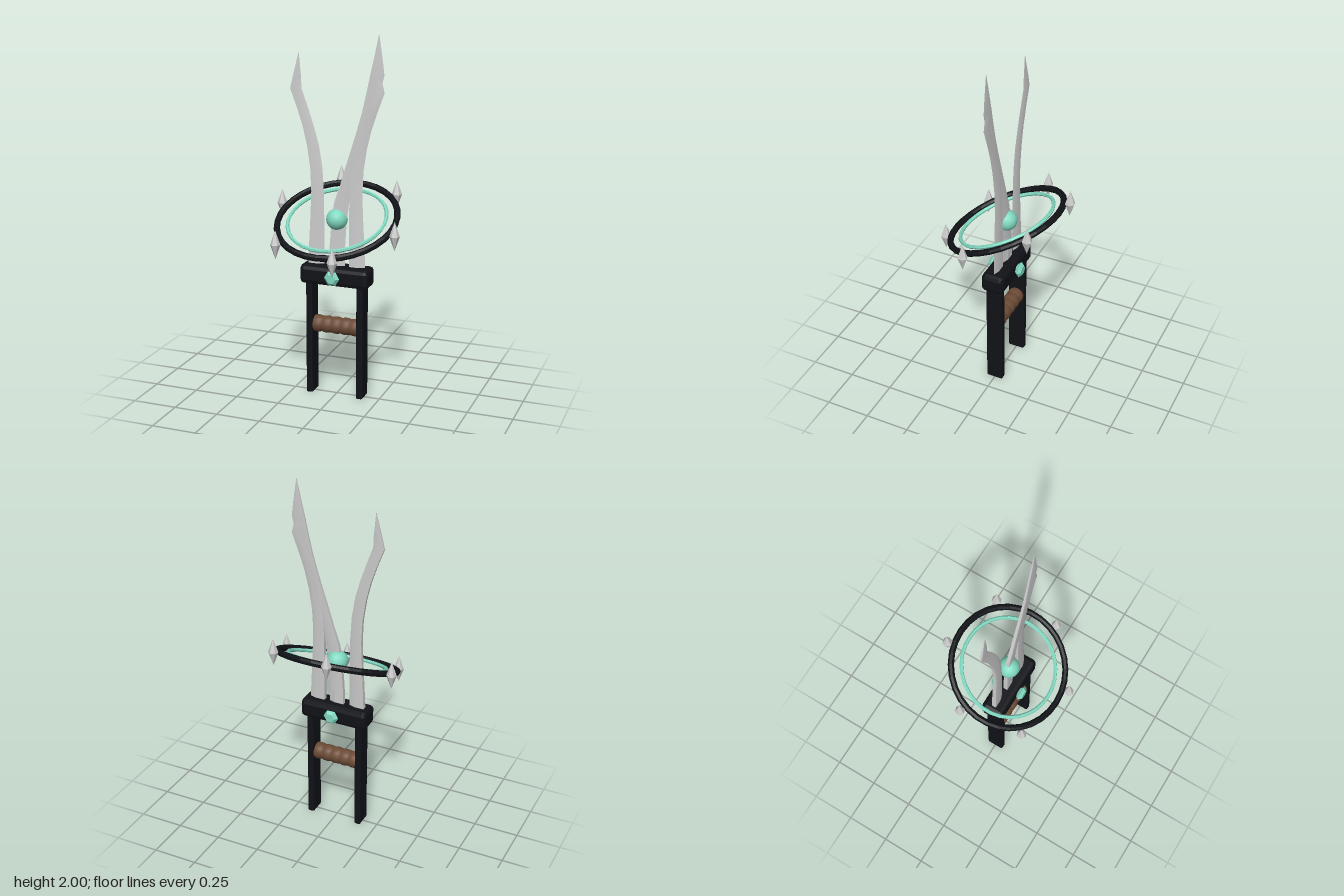
import * as THREE from 'three';
import { toCreasedNormals } from 'three/addons/utils/BufferGeometryUtils.js';
import { RoundedBoxGeometry } from 'three/addons/geometries/RoundedBoxGeometry.js';

const mat = (color, flatShading = false) => new THREE.MeshStandardMaterial({ color, flatShading });
const steel = mat(0xcccccc);
const crystalMat = mat(0xcccccc, true);
const black = mat(0x101217, true);
const mint = mat(0x80d8c0);
const mintFlat = mat(0x80d8c0, true);
const brown = mat(0x6b4a35);

// Blade outlines: [y, left x, right x]
const SIDE_BLADE = [
  [0.70, -0.165, -0.073], [0.85, -0.158, -0.073], [1.0, -0.15, -0.073], [1.15, -0.144, -0.075],
  [1.28, -0.15, -0.083], [1.4, -0.168, -0.102], [1.5, -0.192, -0.13], [1.6, -0.225, -0.163],
  [1.7, -0.263, -0.2], [1.77, -0.246, -0.203], [1.89, -0.216, -0.214],
];
const MIDDLE_BLADE = [
  [0.70, -0.043, 0.045], [0.85, -0.038, 0.047], [1.0, -0.027, 0.056], [1.1, -0.012, 0.07],
  [1.2, 0.022, 0.1], [1.3, 0.052, 0.13], [1.4, 0.084, 0.158], [1.5, 0.115, 0.185],
  [1.6, 0.143, 0.21], [1.7, 0.166, 0.236], [1.79, 0.184, 0.261], [1.88, 0.205, 0.25],
  [2.0, 0.229, 0.231],
];

// Blade lofted from five-sided sections: square spine at -x, sharp edge at +x
function bladeGeometry(stations) {
  const pos = [], idx = [];
  const n = 5, last = stations.length - 1;
  for (const [y, a, b] of stations) {
    const t = 0.013 - 0.0085 * (y - 0.7) / 1.2;
    const m = a + (b - a) * 0.6;
    const h = Math.min(t, (b - a) * 0.4);
    for (const [x, z] of [[a, h], [m, h], [b, 0], [m, -h], [a, -h]]) pos.push(x, y, z);
  }
  for (let i = 0; i < last; i++) {
    for (let j = 0; j < n; j++) {
      const p = i * n + j, q = i * n + (j + 1) % n;
      idx.push(p, q, q + n, p, q + n, p + n);
    }
  }
  // end caps
  for (let j = 1; j < n - 1; j++) {
    idx.push(0, j + 1, j, last * n, last * n + j, last * n + j + 1);
  }
  const g = new THREE.BufferGeometry();
  g.setAttribute('position', new THREE.Float32BufferAttribute(pos, 3));
  g.setIndex(idx);
  return toCreasedNormals(g, 0.35);
}

export function createModel() {
  const model = new THREE.Group();
  const add = (name, geometry, material, x = 0, y = 0, z = 0, parent = model) => {
    const mesh = new THREE.Mesh(geometry, material);
    mesh.name = name;
    mesh.position.set(x, y, z);
    parent.add(mesh);
    return mesh;
  };

  // Three curved blades; the outer two mirror each other in outline
  add('rightBlade', bladeGeometry(SIDE_BLADE), steel);
  add('middleBlade', bladeGeometry(MIDDLE_BLADE), steel);
  add('leftBlade', bladeGeometry(SIDE_BLADE.map(([y, a, b]) => [y, -b, -a])), steel);

  // Chamfered guard and the two bars below it
  add('guard', new RoundedBoxGeometry(0.394, 0.108, 0.13, 1, 0.024), black, 0, 0.693, 0);
  for (const s of [-1, 1]) {
    add(s > 0 ? 'leftBar' : 'rightBar',
      new RoundedBoxGeometry(0.038, 0.68, 0.098, 1, 0.009), black, s * 0.146, 0.34, 0);
  }

  // Rippled grip between the bars
  const grip = [];
  for (let i = 0; i <= 30; i++) {
    const u = i / 30;
    grip.push(new THREE.Vector2(0.043 + 0.005 * Math.abs(Math.sin(u * Math.PI * 5)), (u - 0.5) * 0.27));
  }
  add('grip', new THREE.LatheGeometry(grip, 16), brown, 0, 0.4, 0).rotation.z = Math.PI / 2;

  // Hexagonal gems on the front and back of the guard
  const gemProfile = [[0.03, 0], [0.034, 0.008], [0.044, 0.02], [0.027, 0.037], [0, 0.037]]
    .map(([r, y]) => new THREE.Vector2(r, y));
  for (const s of [1, -1]) {
    const gem = add(s > 0 ? 'frontGem' : 'backGem',
      new THREE.LatheGeometry(gemProfile, 6, Math.PI / 2), mintFlat, 0, 0.693, s * 0.062);
    gem.rotation.x = s * Math.PI / 2;
  }

  // Floating orb
  const centreY = 1.005, tilt = 0.42;
  add('orb', new THREE.IcosahedronGeometry(0.059, 2), mint, 0, centreY, 0);

  // Two tilted rings, low at the front
  const rings = new THREE.Group();
  rings.name = 'rings';
  rings.position.y = centreY;
  rings.rotation.x = Math.PI / 2 + tilt;
  model.add(rings);
  add('outerRing', new THREE.TorusGeometry(0.328, 0.0175, 8, 32), black, 0, 0, 0, rings);
  add('innerRing', new THREE.TorusGeometry(0.27, 0.0105, 6, 32), mintFlat, 0, 0, 0, rings);

  // Upright crystals spaced around the outer ring
  const crystalProfile = [[0, -0.08], [0.028, 0], [0, 0.08]].map(([r, y]) => new THREE.Vector2(r, y));
  const crystalGeometry = new THREE.LatheGeometry(crystalProfile, 6);
  for (let k = 0; k < 6; k++) {
    const a = Math.PI / 12 + k * Math.PI / 3;
    const r = 0.367, d = r * Math.sin(a);
    const crystal = add('crystal' + (k + 1), crystalGeometry, crystalMat,
      r * Math.cos(a), centreY - d * Math.sin(tilt), d * Math.cos(tilt));
    crystal.rotation.y = -a;
  }
  return model;
}
